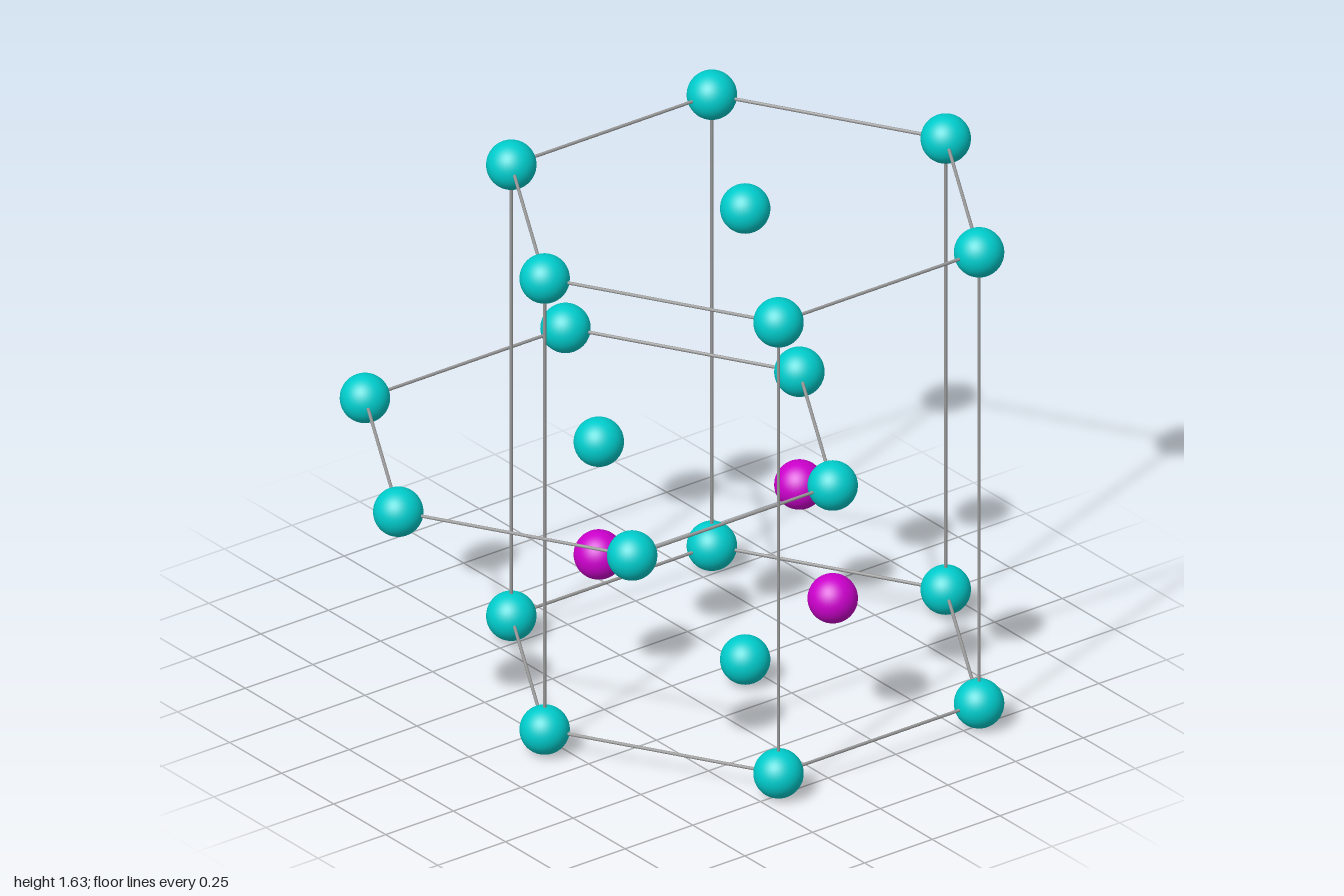
import * as THREE from 'three';

const R = 0.074;      // ball radius
const A = 0.741;      // hexagon side
const ROD = 0.005;    // rod radius
const CX = 0.185, CZ = 0.111; // layer offset from the middle

const teal = new THREE.MeshStandardMaterial({ color: 0x00cccc });
teal.name = 'teal';
const purple = new THREE.MeshStandardMaterial({ color: 0xcc00cc });
purple.name = 'purple';
const grey = new THREE.MeshStandardMaterial({ color: 0x999999 });
grey.name = 'grey';

const ballGeometry = new THREE.SphereGeometry(R, 40, 28);

function ball(name, material, position) {
  const mesh = new THREE.Mesh(ballGeometry, material);
  mesh.name = name;
  mesh.position.copy(position);
  return mesh;
}

// Thin rod between two points
function rod(name, a, b) {
  const dir = b.clone().sub(a);
  const mesh = new THREE.Mesh(new THREE.CylinderGeometry(ROD, ROD, dir.length(), 10), grey);
  mesh.name = name;
  mesh.position.copy(a).add(b).multiplyScalar(0.5);
  mesh.quaternion.setFromUnitVectors(new THREE.Vector3(0, 1, 0), dir.normalize());
  return mesh;
}

// Corners of a hexagon around a centre
function corners(c) {
  return Array.from({ length: 6 }, (_, i) => {
    const t = (i * Math.PI) / 3;
    return new THREE.Vector3(c.x + A * Math.cos(t), c.y, c.z + A * Math.sin(t));
  });
}

// Layer: hexagon of balls, centre ball and outline rods
function layer(name, c) {
  const group = new THREE.Group();
  group.name = name;
  const pts = corners(c);
  pts.forEach((p, i) => {
    group.add(ball('cornerBall', teal, p));
    group.add(rod('edgeRod', p, pts[(i + 1) % 6]));
  });
  group.add(ball('centreBall', teal, c));
  return group;
}

export function createModel() {
  const model = new THREE.Group();
  model.name = 'crystalLattice';

  const bottom = new THREE.Vector3(CX, R, CZ);
  const middle = new THREE.Vector3(-CX, R + A, -CZ);
  const top = new THREE.Vector3(CX, R + 2 * A, CZ);
  model.add(layer('bottomLayer', bottom));
  model.add(layer('middleLayer', middle));
  model.add(layer('topLayer', top));

  // Upright rods of the prism
  const topCorners = corners(top);
  corners(bottom).forEach((p, i) => model.add(rod('uprightRod', p, topCorners[i])));

  // Purple balls below three of the middle layer's balls
  const upper = corners(middle);
  for (const p of [middle, upper[0], upper[1]]) {
    model.add(ball('innerBall', purple, new THREE.Vector3(p.x, R + A / 2, p.z)));
  }
  return model;
}
